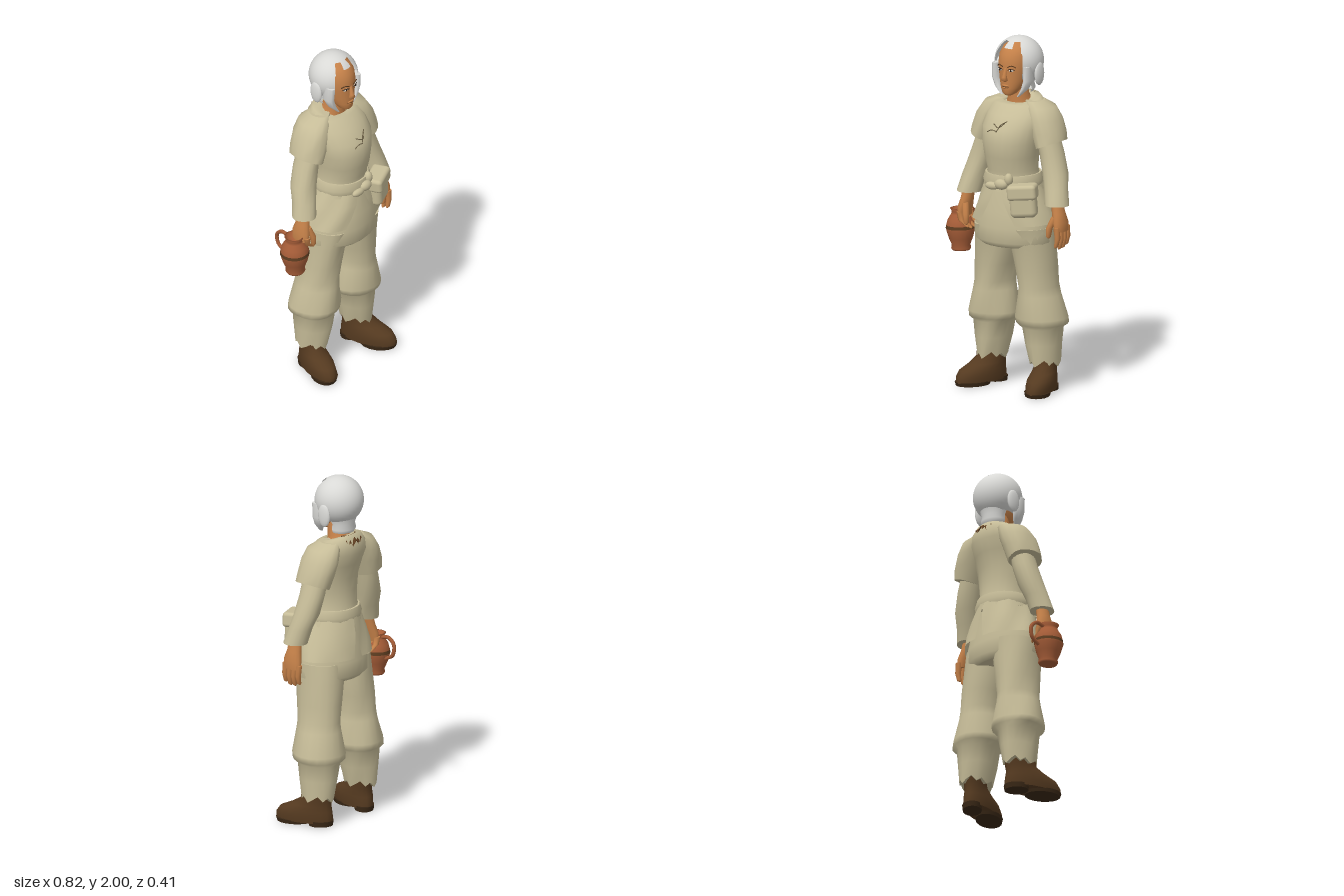
import * as THREE from 'three';
import { RoundedBoxGeometry } from 'three/addons/geometries/RoundedBoxGeometry.js';

const mat = (name, color) => Object.assign(new THREE.MeshStandardMaterial({ color, side: THREE.DoubleSide }), { name });

// Skin a stack of elliptical rings, listed top to bottom or bottom to top.
// Ring: [x, y, z, radiusX, radiusZ, tiltX, tiltZ]; angle 0 faces +z.
// arc(t) gives [start, end] angles for open panels; fold adds cloth ripples; jag tears the lowest ring.
function loft(rings, { n = 16, arc = null, fold = 0, waves = 5, jag = 0, s = 1 } = {}) {
  const rows = rings[0][1] > rings.at(-1)[1] ? [...rings].reverse() : rings;
  const pos = [], idx = [], cols = arc ? n + 1 : n;
  rows.forEach(([x, y, z, rx, rz, tx = 0, tz = 0], i) => {
    let [a0, a1] = arc ? arc(i / (rows.length - 1)) : [0, Math.PI * 2];
    if (s < 0) [a0, a1] = [-a1, -a0];
    for (let j = 0; j < cols; j++) {
      const a = a0 + (a1 - a0) * j / n, c = Math.cos(a), d = Math.sin(a);
      const k = 1 + fold * Math.cos(waves * a * s + i * 1.3);
      const tear = i === 0 ? jag * ((j * 7) % 5 - 2) / 2 : 0;
      pos.push(x * s + rx * k * d, y + tx * s * d + tz * c + tear, z + rz * k * c);
    }
  });
  for (let i = 0; i < rows.length - 1; i++) for (let j = 0; j < n; j++) {
    const q = (j + 1) % cols, a = i * cols + j, b = i * cols + q;
    idx.push(a, b, b + cols, a, b + cols, a + cols);
  }
  // flat end caps on closed lofts
  if (!arc) [0, rows.length - 1].forEach((i) => {
    const base = pos.length / 3, r = rows[i];
    for (let j = 0; j < n; j++) pos.push(...pos.slice((i * n + j) * 3, (i * n + j) * 3 + 3));
    pos.push(r[0] * s, r[1], r[2]);
    for (let j = 0; j < n; j++) {
      const q = (j + 1) % n;
      idx.push(base + n, ...(i ? [base + j, base + q] : [base + q, base + j]));
    }
  });
  const g = new THREE.BufferGeometry();
  g.setAttribute('position', new THREE.Float32BufferAttribute(pos, 3));
  g.setIndex(idx);
  g.computeVertexNormals();
  return g;
}

const tube = (pts, r, n = 12) => new THREE.TubeGeometry(
  new THREE.CatmullRomCurve3(pts.map((p) => new THREE.Vector3(...p))), n, r, 6);
const ball = (x, y, z, rx, ry, rz) => new THREE.SphereGeometry(1, 14, 10).scale(rx, ry, rz).translate(x, y, z);

export function createModel() {
  const cloth = mat('linen', 0xc6bc98), skin = mat('skin', 0xc58149), hair = mat('white hair', 0xd9d9d6);
  const boot = mat('boot leather', 0x553a20), sole = mat('boot sole', 0x3a2816), clay = mat('clay', 0xa65d38);
  const band = mat('dark band', 0x5c3c20), seam = mat('lace', 0x6e6248), dark = mat('eye dark', 0x2b1d16);
  const white = mat('eye white', 0xd8cfc0);
  const model = new THREE.Group(), body = new THREE.Group();
  model.name = 'figure';
  body.name = 'body';
  body.position.x = 0.03;
  model.add(body);
  const add = (name, geo, m, parent = body) => {
    const mesh = new THREE.Mesh(geo, m);
    mesh.name = name;
    parent.add(mesh);
    return mesh;
  };

  // Tunic body, seat of the trousers and sash
  add('tunic', loft([
    [0, 1.15, 0, .175, .16], [0, 1.2, 0, .158, .15], [0, 1.26, .01, .143, .142], [0, 1.34, .02, .155, .152],
    [0, 1.42, .022, .168, .158], [0, 1.5, .005, .178, .163], [0, 1.57, -.035, .18, .145],
    [0, 1.625, -.06, .165, .115], [0, 1.655, -.065, .12, .09, 0, -.02], [0, 1.645, -.05, .082, .077, 0, -.03],
  ], { n: 24, fold: .015, waves: 6 }), cloth);
  add('trouserSeat', loft([
    [0, .83, 0, .21, .15], [0, .86, 0, .238, .18], [0, .94, 0, .232, .178], [0, 1.03, .005, .212, .168], [0, 1.18, 0, .15, .14],
  ], { n: 24, fold: .012, waves: 4 }), cloth);
  add('sash', loft([[0, 1.17, .005, .165, .158], [0, 1.2, .005, .172, .165], [0, 1.24, .005, .157, .155]], { n: 24 }), cloth);
  add('sashKnot', ball(0.03, 1.195, .168, .042, .03, .026), cloth);
  [[-.03, 1.18, .17, .045, .022, .02], [.07, 1.225, .15, .025, .035, .025]].forEach((b) => add('sashLoop', ball(...b), cloth));

  // Belt pouch with flap
  const pouch = new THREE.Group();
  pouch.name = 'pouch';
  pouch.position.set(.16, 1.11, .135);
  pouch.rotation.set(0, .42, .08);
  body.add(pouch);
  add('pouchBag', new RoundedBoxGeometry(.15, .18, .09, 3, .03), cloth, pouch);
  add('pouchFlap', new RoundedBoxGeometry(.165, .085, .105, 3, .02).translate(0, .055, .002), cloth, pouch);

  // Lacing on the chest
  [[[-.06, 1.485, .172], [-.03, 1.5, .174], [.0, 1.495, .173]], [[-.03, 1.53, .151], [.01, 1.515, .166], [.04, 1.54, .145]],
    [[.0, 1.49, .174], [.02, 1.53, .155], [.05, 1.55, .135]]].forEach((p) => add('chestLace', tube(p, .0025), seam));
  // Ragged collar lining at the nape
  add('napeCollar', loft([[0, 1.635, -.085, .1, .095], [0, 1.675, -.07, .07, .07]],
    { n: 14, arc: () => [2.2, 4.08], jag: .016 }), band);

  for (const s of [1, -1]) {
    const side = s > 0 ? 'left' : 'right';
    // Split skirt of the tunic
    add(side + 'SkirtPanel', loft([
      [0, .965, -.005, .25, .192], [0, 1.03, -.003, .228, .185], [0, 1.1, 0, .198, .175], [0, 1.19, 0, .16, .153],
    ], { s, fold: .025, waves: 7, arc: (t) => [.5 - .42 * t, 3.02 + .12 * t] }), cloth);

    // Short flared sleeve and long under-sleeve
    add(side + 'ShortSleeve', loft([
      [.1, 1.645, -.065, .05, .065], [.14, 1.615, -.062, .082, .098], [.172, 1.55, -.058, .09, .115],
      [.198, 1.48, -.052, .09, .113], [.222, 1.41, -.045, .076, .108, .03],
    ], { s, fold: .03 }), cloth);
    add(side + 'UnderSleeve', loft([
      [.19, 1.48, -.05, .06, .075], [.225, 1.36, -.048, .066, .074], [.258, 1.25, -.035, .07, .073],
      [.28, 1.17, -.01, .068, .068], [.3, 1.085, .01, .07, .07],
    ], { s, fold: .03, waves: 4 }), cloth);

    // Hand: palm, four fingers and a thumb; the right one closes on the jug
    const grip = s < 0, len = grip ? .075 : .11, bend = grip ? -.035 : .012;
    add(side + 'Palm', loft([
      [.3, 1.1, .01, .033, .036], [.312, 1.04, .01, .034, .044], [.325, .99, .01, .034, .058], [.33, .94, .008, .026, .058],
    ], { s }), skin);
    for (let f = 0; f < 4; f++) {
      const z = -.04 + f * .032, l = len - Math.abs(f - 1.6) * .012;
      add(side + 'Finger', loft([
        [.33, .965, z, .019, .018], [.333 + bend * .3, .95 - l * .5, z, .016, .016],
        [.33 + bend - .015, .95 - l, z, .012, .012], [.325 + bend - .015, .942 - l, z, .004, .004],
      ], { s, n: 8 }), skin);
    }
    add(side + 'Thumb', loft([
      [.305, 1.02, .04, .02, .022], [.285, .96, .062, .019, .019], [.28, .91, .064, .014, .014], [.28, .9, .064, .004, .004],
    ], { s, n: 8 }), skin);

    // Trouser leg gathered at the knee, with a torn cuff
    add(side + 'TrouserLeg', loft([
      [.118, .94, 0, .115, .15], [.122, .83, -.015, .118, .14], [.138, .7, -.025, .11, .133], [.148, .6, -.03, .106, .13],
      [.152, .55, -.032, .118, .134], [.16, .42, -.04, .148, .15], [.163, .385, -.045, .143, .145], [.165, .362, -.045, .112, .122],
      [.17, .27, -.045, .1, .115], [.18, .165, -.048, .084, .102],
    ], { s, n: 20, fold: .025, waves: 4, jag: .02 }), cloth);

    // Boot, toe turned outwards
    const splay = (g) => {
      const p = g.attributes.position;
      for (let i = 0; i < p.count; i++) p.setX(i, p.getX(i) + s * p.getZ(i) * .24);
      g.computeVertexNormals();
      return g;
    };
    add(side + 'Boot', splay(loft([
      [.2, .018, .025, .076, .162], [.2, .05, .025, .08, .163], [.2, .085, .015, .078, .148], [.198, .115, -.015, .07, .112],
      [.196, .15, -.045, .064, .085], [.196, .2, -.052, .068, .086],
    ], { s, n: 20 })), boot);
    add(side + 'SoleFront', splay(loft([[.2, 0, .085, .075, .095], [.2, .022, .085, .079, .102]], { s })), sole);
    add(side + 'Heel', splay(loft([[.2, 0, -.075, .06, .06], [.2, .03, -.075, .063, .064]], { s })), sole);

    // Eye, brow, ear puff and hair strand beside the face
    add(side + 'EyeWhite', ball(s * .037, 1.828, .08, .016, .007, .006), white);
    add(side + 'Iris', ball(s * .037, 1.828, .084, .006, .006, .004), dark);
    add(side + 'Lash', tube([[s * .018, 1.831, .087], [s * .037, 1.837, .086], [s * .056, 1.832, .074]], .0022), dark);
    add(side + 'Brow', tube([[s * .015, 1.846, .087], [s * .04, 1.856, .083], [s * .062, 1.846, .068]], .0028), band);
    add(side + 'HairPuff', ball(s * .134, 1.8, -.055, .016, .066, .042), hair);
    add(side + 'HairStrand', loft([
      [.104, 1.85, .02, .02, .035], [.106, 1.77, .012, .022, .04], [.088, 1.72, .02, .018, .03], [.055, 1.675, .035, .006, .012],
    ], { s, n: 10 }), hair);
  }

  // Neck and head
  add('neck', loft([[0, 1.625, -.05, .079, .074, 0, -.03], [0, 1.66, -.045, .06, .06, 0, -.015], [0, 1.76, -.03, .05, .055]]), skin);
  add('head', loft([
    [0, 1.682, .05, .022, .022], [0, 1.695, .04, .042, .042], [0, 1.725, .02, .06, .066], [0, 1.765, 0, .077, .085],
    [0, 1.82, -.01, .088, .096], [0, 1.86, -.015, .092, .102], [0, 1.91, -.02, .09, .097], [0, 1.95, -.035, .075, .083], [0, 1.98, -.045, .035, .04],
  ], { n: 24 }), skin);
  add('nose', loft([[0, 1.762, .085, .006, .006], [0, 1.772, .092, .02, .018], [0, 1.79, .092, .013, .015], [0, 1.84, .083, .008, .006]], { n: 10 }), skin);
  add('upperLip', ball(0, 1.739, .084, .024, .006, .007), skin);
  add('lowerLip', ball(0, 1.726, .081, .02, .007, .008), skin);
  add('mouthLine', tube([[-.024, 1.732, .081], [0, 1.733, .09], [.024, 1.732, .081]], .0015), band);

  // Hair shell open at the face, with crown, fringe and nape roll
  const shell = (name, ...arcs) => add(name, new THREE.SphereGeometry(.138, 28, 14, ...arcs).translate(0, 1.862, -.05), hair);
  shell('hairBack', Math.PI / 2 + .75, Math.PI * 2 - 1.5, .5, 1.95);
  shell('hairCrown', 0, Math.PI * 2, 0, .56);
  shell('fringe', Math.PI / 2 - .25, .5, .5, .42);
  shell('leftTemple', Math.PI / 2 + .7, .25, .5, .6);
  shell('rightTemple', Math.PI / 2 - .95, .25, .5, .6);
  add('napeRoll', loft([[0, 1.685, -.075, .068, .062], [0, 1.705, -.078, .078, .07], [0, 1.735, -.075, .072, .066], [0, 1.78, -.07, .09, .085]],
    { n: 16, arc: () => [1.35, 4.93] }), hair);

  // Clay jug hanging from the right hand
  const jug = new THREE.Group();
  jug.name = 'jug';
  jug.position.set(-.33, .735, 0);
  jug.rotation.z = .04;
  model.add(jug);
  const profile = [[0, .0], [.05, 0], [.056, .01], [.052, .03], [.068, .07], [.08, .115], [.08, .14], [.07, .175], [.05, .205], [.046, .22], [.055, .238], [.046, .238], [.036, .21], [0, .2]];
  add('jugBody', new THREE.LatheGeometry(profile.map((p) => new THREE.Vector2(...p)), 20), clay, jug);
  add('jugBand', new THREE.CylinderGeometry(.08, .083, .018, 20, 1, true).translate(0, .133, 0), band, jug);
  add('jugHandle', tube([[0, .1, -.075], [0, .13, -.125], [0, .19, -.133], [0, .225, -.095], [0, .22, -.045]], .011, 20), clay, jug);
  return model;
}
